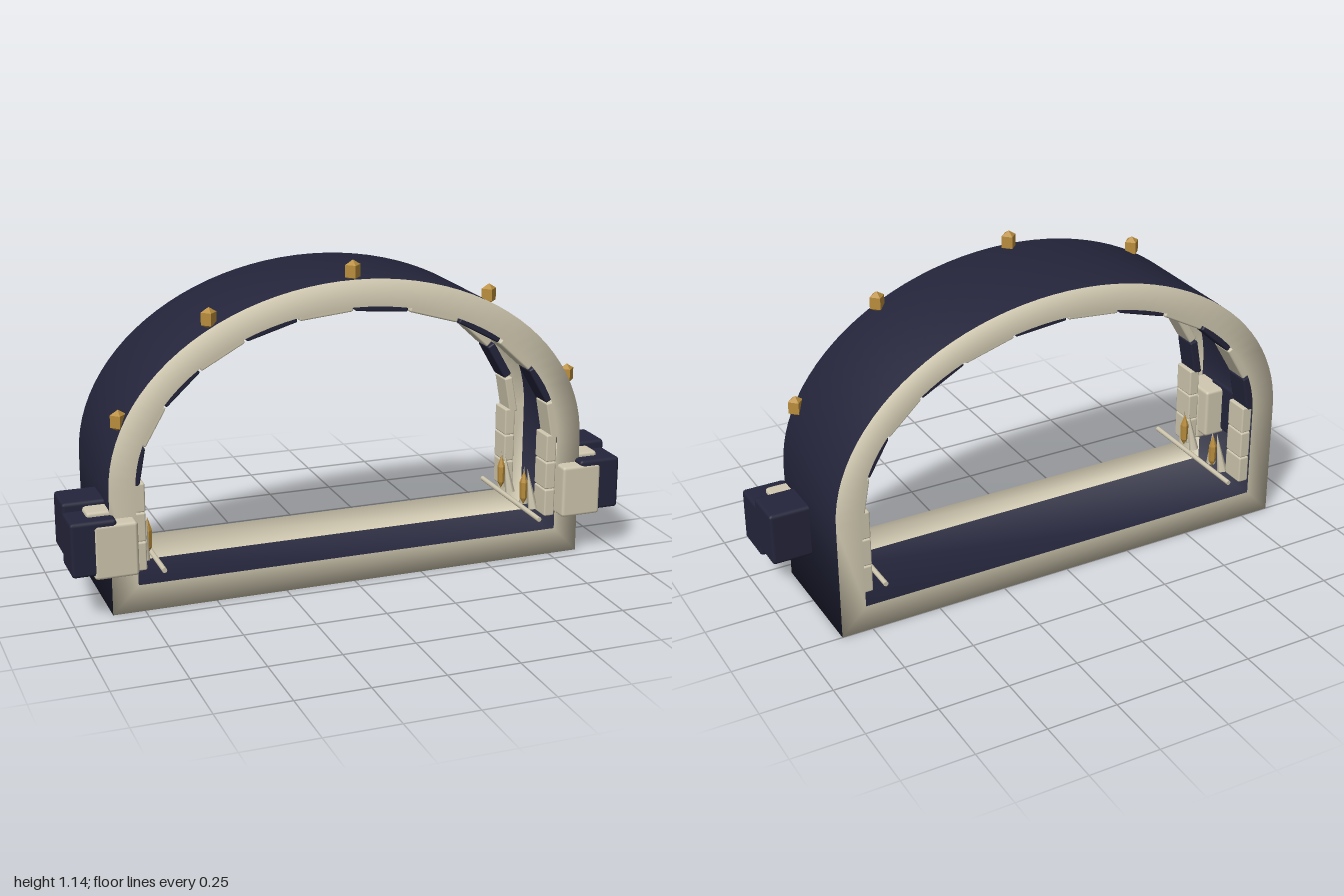
import * as THREE from 'three';
import { RoundedBoxGeometry } from 'three/addons/geometries/RoundedBoxGeometry.js';

const cream = new THREE.MeshStandardMaterial({ color: 0xd0c8b0, side: THREE.DoubleSide });
cream.name = 'cream stone';
const navy = new THREE.MeshStandardMaterial({ color: 0x24253b, side: THREE.DoubleSide });
navy.name = 'dark navy';
const gold = new THREE.MeshStandardMaterial({ color: 0xb88d3c, flatShading: true });
gold.name = 'gold';

const SPRING = 0.43; // height where the straight walls turn into the arch

// Closed gate outline, counter-clockwise from the bottom left corner
function outline(halfWidth, bottom, top) {
  const pts = [[-halfWidth, bottom], [halfWidth, bottom]];
  for (let i = 0; i <= 48; i++) {
    const a = (i / 48) * Math.PI;
    pts.push([halfWidth * Math.cos(a), SPRING + (top - SPRING) * Math.sin(a)]);
  }
  return pts;
}

// Hollow shell: back rim, outer skin and front rim share smooth edges
function shellGeometry() {
  const outer = outline(0.86, 0, 1.075), inner = outline(0.77, 0.095, 0.98);
  const n = outer.length, pos = [], index = [];
  const geo = new THREE.BufferGeometry();
  for (let i = 0; i < n; i++) {
    pos.push(...inner[i], -0.25, ...outer[i], -0.25, ...outer[i], 0.2, ...inner[i], 0.2);
  }
  for (let k = 0; k < 3; k++) {
    geo.addGroup(index.length, n * 6, k === 1 ? 1 : 0);
    for (let i = 0; i < n; i++) {
      const a = i * 4 + k, b = ((i + 1) % n) * 4 + k;
      index.push(a, b, b + 1, a, b + 1, a + 1);
    }
  }
  geo.setAttribute('position', new THREE.Float32BufferAttribute(pos, 3));
  geo.setIndex(index);
  geo.computeVertexNormals();
  return geo;
}

export function createModel() {
  const model = new THREE.Group();
  model.name = 'archGate';

  const add = (name, geo, mat, x = 0, y = 0, z = 0) => {
    const mesh = new THREE.Mesh(geo, mat);
    mesh.name = name;
    mesh.position.set(x, y, z);
    model.add(mesh);
    return mesh;
  };

  // Box given by its limits, mirrored for side = -1
  const block = (name, mat, side, [x0, x1], [y0, y1], [z0, z1], r = 0.012) =>
    add(name, new RoundedBoxGeometry(x1 - x0, y1 - y0, z1 - z0, 1, r), mat,
      side * (x0 + x1) / 2, (y0 + y1) / 2, (z0 + z1) / 2);

  add('shell', shellGeometry(), [cream, navy]);

  // Gold studs along the front of the arch
  const studProfile = [[0, -0.036], [0.027, -0.022], [0.027, 0.02], [0, 0.037]]
    .map(p => new THREE.Vector2(...p));
  const stud = new THREE.LatheGeometry(studProfile, 4);
  for (const [x, y] of [[0, 1.1], [0.5, 0.98], [-0.5, 0.98], [0.812, 0.665], [-0.812, 0.665]]) {
    add('goldStud', stud, gold, x, y, 0.17);
  }

  // Alternating arch stones inside both rims
  const COUNT = 12;
  const at = i => {
    const a = (i / COUNT) * Math.PI;
    return new THREE.Vector2(0.77 * Math.cos(a), SPRING + 0.55 * Math.sin(a));
  };
  for (const z of [0.145, -0.195]) {
    for (let i = 0; i < COUNT; i++) {
      const p = at(i), q = at(i + 1), chord = q.clone().sub(p);
      const stone = add('archStone',
        new RoundedBoxGeometry(chord.length() * 0.95, 0.032, 0.09, 1, 0.006),
        i % 2 ? navy : cream, (p.x + q.x) / 2, (p.y + q.y) / 2, z);
      stone.rotation.z = chord.angle();
    }
  }

  const spike = new THREE.ConeGeometry(0.018, 0.15, 6);
  const flame = new THREE.LatheGeometry(
    [[0, -0.065], [0.013, -0.04], [0.015, 0.02], [0, 0.065]].map(p => new THREE.Vector2(...p)), 6);

  for (const s of [1, -1]) {
    // Overlapping blocks on the outer wall
    block('frontCreamBlock', cream, s, [0.775, 0.925], [0.15, 0.34], [0.1, 0.251]);
    block('frontNavyBlock', navy, s, [0.845, 1], [0.165, 0.355], [0.1, 0.248]);
    block('rearCreamBlock', cream, s, [0.78, 0.935], [0.18, 0.37], [0.05, 0.199]);
    block('rearNavyBlock', navy, s, [0.85, 1], [0.195, 0.385], [-0.02, 0.128]);

    // Stacked pillar stones at both rims
    for (const z of [0.145, -0.195]) {
      for (let i = 0; i < 3; i++) {
        const y = 0.14 + i * 0.103;
        block('pillarStone', cream, s, [0.735, 0.775], [y, y + 0.101], [z - 0.045, z + 0.045], 0.006);
      }
    }

    // Low rail running front to back
    const rail = add('rail', new THREE.CylinderGeometry(0.009, 0.009, 0.48, 8), cream, s * 0.69, 0.152, 0);
    rail.rotation.x = Math.PI / 2;

    // Pointed ornaments: cream spikes around a gold flame
    for (const z of [0.08, -0.11]) {
      for (const d of [1, -1]) {
        const leaf = add('ornamentSpike', spike, cream, s * 0.718, 0.222, z + d * 0.025);
        leaf.rotation.set(-d * 0.15, 0, s * 0.1);
      }
      add('ornamentFlame', flame, gold, s * 0.704, 0.22, z);
    }
  }
  return model;
}
